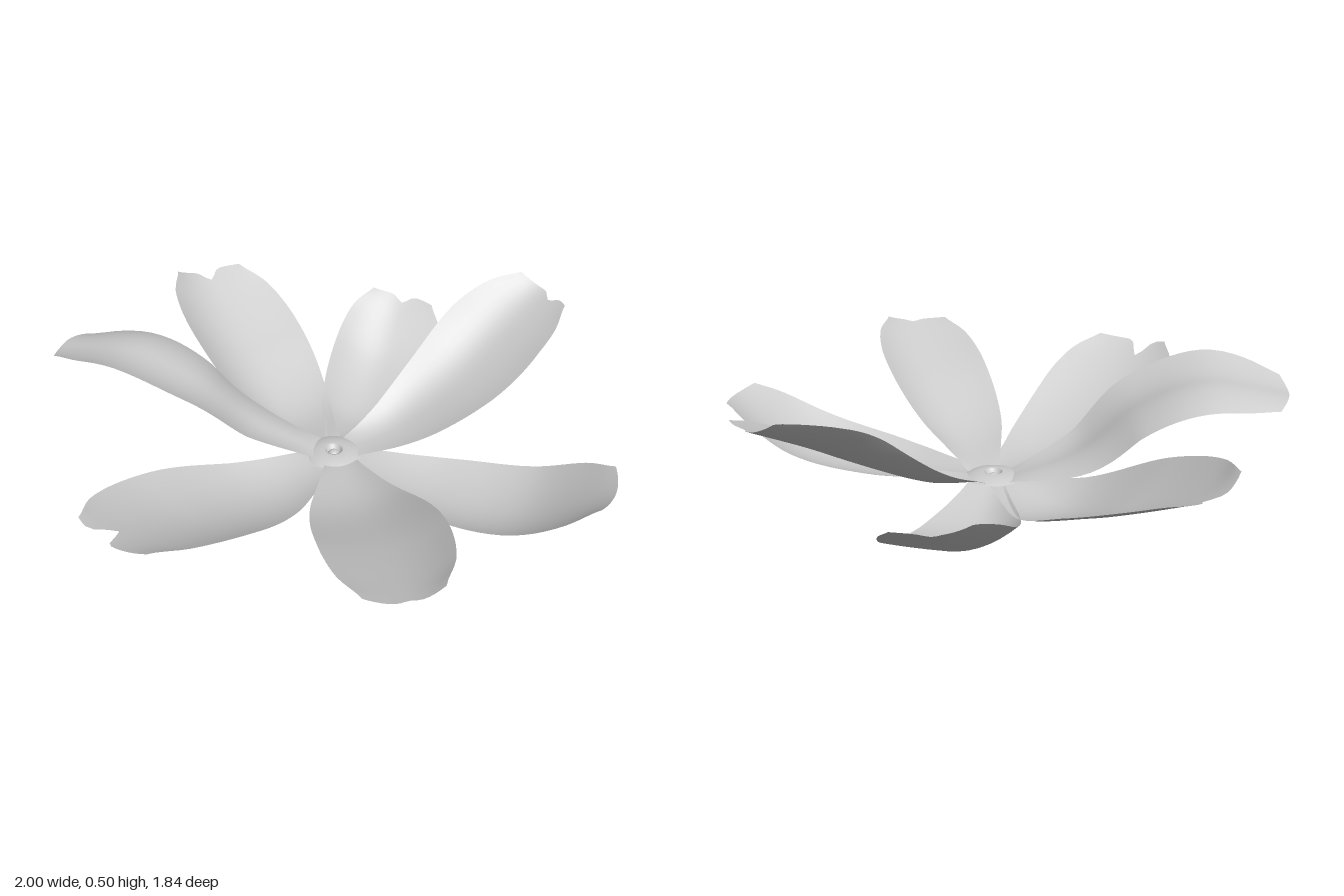
import * as THREE from 'three';

const material = new THREE.MeshStandardMaterial({ color: 0xcccccc, side: THREE.DoubleSide });

// Half-width of a petal along its length, as a share of its widest point
const outline = new THREE.SplineCurve([
  [0, 0.3], [0.15, 0.52], [0.3, 0.77], [0.45, 0.93], [0.6, 1], [0.75, 0.99], [0.9, 0.87], [1, 0.6],
].map(([t, w]) => new THREE.Vector2(t, w)));

// spine: points from root to tip; lift: rise of the two edges [counter-clockwise, clockwise from above];
// notch: [position across, depth] of the cut in the tip
const petals = [
  { name: 'rightPetal', width: 0.2, lift: [0.05, 0.06], notch: [0, 0],
    spine: [[0.05, 0.09, 0], [0.4, 0.058, 0.07], [0.7, 0.1, 0.11], [1, 0.28, 0.12]] },
  { name: 'backRightPetal', width: 0.19, lift: [0.12, 0.03], notch: [0.3, 0.03],
    spine: [[0.03, 0.09, -0.04], [0.17, 0.12, -0.17], [0.34, 0.23, -0.35], [0.47, 0.36, -0.55], [0.585, 0.47, -0.735]] },
  { name: 'backPetal', width: 0.205, lift: [0.1, 0.01], notch: [0, 0.035],
    spine: [[0, 0.09, -0.05], [0, 0.035, -0.2], [0, 0.012, -0.35], [0, 0.075, -0.6], [-0.01, 0.255, -0.875]] },
  { name: 'backLeftPetal', width: 0.225, lift: [0.13, 0.04], notch: [0, 0.05],
    spine: [[-0.05, 0.09, -0.03], [-0.25, 0.06, -0.2], [-0.5, 0.17, -0.41], [-0.79, 0.34, -0.66]] },
  { name: 'leftPetal', width: 0.2, lift: [0.06, -0.06], notch: [0, 0],
    spine: [[-0.06, 0.09, 0], [-0.3, 0.19, 0.04], [-0.5, 0.36, 0.09], [-0.72, 0.45, 0.11], [-1, 0.42, 0.12]] },
  { name: 'frontLeftPetal', width: 0.235, lift: [0.06, 0.06], notch: [0.3, 0.1],
    spine: [[-0.03, 0.09, 0.04], [-0.16, 0.085, 0.3], [-0.29, 0.18, 0.58], [-0.4, 0.35, 0.95]] },
  { name: 'frontRightPetal', width: 0.2, lift: [0.08, 0.04], notch: [-0.1, 0.015],
    spine: [[0.03, 0.09, 0.04], [0.17, 0.13, 0.3], [0.355, 0.26, 0.6], [0.525, 0.39, 0.93]] },
];

// A cupped sheet swept along the spine
function petalMesh({ name, width, lift, notch, spine }) {
  const curve = new THREE.CatmullRomCurve3(spine.map((p) => new THREE.Vector3(...p)));
  const geometry = new THREE.PlaneGeometry(1, 1, 14, 28);
  const pos = geometry.attributes.position;
  for (let i = 0; i < pos.count; i++) {
    const s = pos.getX(i) * 2;
    const t = pos.getY(i) + 0.5;
    const p = curve.getPointAt(t);
    const along = curve.getTangentAt(t);
    const side = new THREE.Vector3(-along.z, 0, along.x).normalize();
    const cut = notch[1] * Math.exp(-(((s - notch[0]) / 0.22) ** 2)) + 0.03 * s * s;
    p.addScaledVector(side, s * width * outline.getPoint(t).y);
    p.addScaledVector(along, -cut * t ** 10);
    p.y += lift[s < 0 ? 0 : 1] * s * s * Math.sin(Math.PI * t * 0.85);
    pos.setXYZ(i, p.x, p.y, p.z);
  }
  // Turn the sheet so its upper side is the front
  const index = geometry.index.array;
  for (let i = 0; i < index.length; i += 3) [index[i], index[i + 1]] = [index[i + 1], index[i]];
  geometry.computeVertexNormals();
  const mesh = new THREE.Mesh(geometry, material);
  mesh.name = name;
  return mesh;
}

export function createModel() {
  const group = new THREE.Group();
  petals.forEach((petal) => group.add(petalMesh(petal)));

  // Shallow domed hub with a small dimple in the middle
  const profile = [[0.1, 0.088], [0.085, 0.096], [0.06, 0.103], [0.035, 0.107], [0.028, 0.104], [0.021, 0.088], [0.012, 0.092], [0, 0.094]];
  const hub = new THREE.Mesh(
    new THREE.LatheGeometry(profile.map(([r, y]) => new THREE.Vector2(r, y)), 32), material);
  hub.name = 'hub';
  hub.position.x = -0.01;
  group.add(hub);

  // Rounded stem stub below the hub
  const stub = new THREE.Mesh(new THREE.SphereGeometry(0.025, 20, 14), material);
  stub.name = 'stemStub';
  stub.position.set(-0.01, 0.075, 0);
  group.add(stub);

  return group;
}
